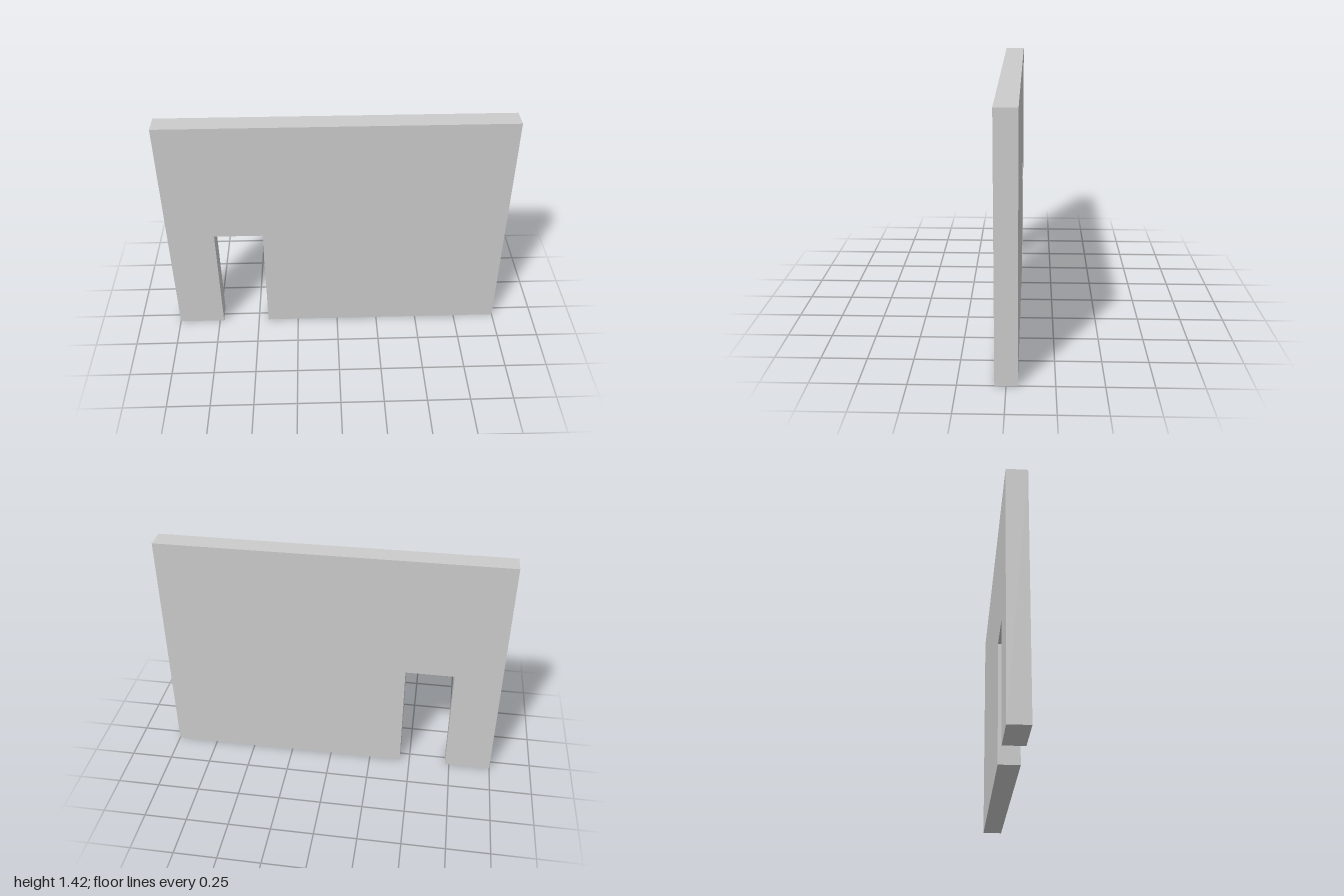
import * as THREE from 'three';

export function createModel() {
  const group = new THREE.Group();
  group.name = 'wallWithDoorway';

  const halfWidth = 1, height = 1.42, thickness = 0.118;
  const door = { left: -0.725, right: -0.44, top: 0.687 };

  // Wall outline, notched by the doorway that is open at the floor
  const outline = new THREE.Shape([
    [-halfWidth, 0], [door.left, 0], [door.left, door.top], [door.right, door.top],
    [door.right, 0], [halfWidth, 0], [halfWidth, height], [-halfWidth, height],
  ].map(([x, y]) => new THREE.Vector2(x, y)));

  const geometry = new THREE.ExtrudeGeometry(outline, { depth: thickness, bevelEnabled: false });
  geometry.translate(0, 0, -thickness / 2);

  const wall = new THREE.Mesh(
    geometry,
    new THREE.MeshStandardMaterial({ color: 0xcccccc, flatShading: true }),
  );
  wall.name = 'wall';
  group.add(wall);
  return group;
}
